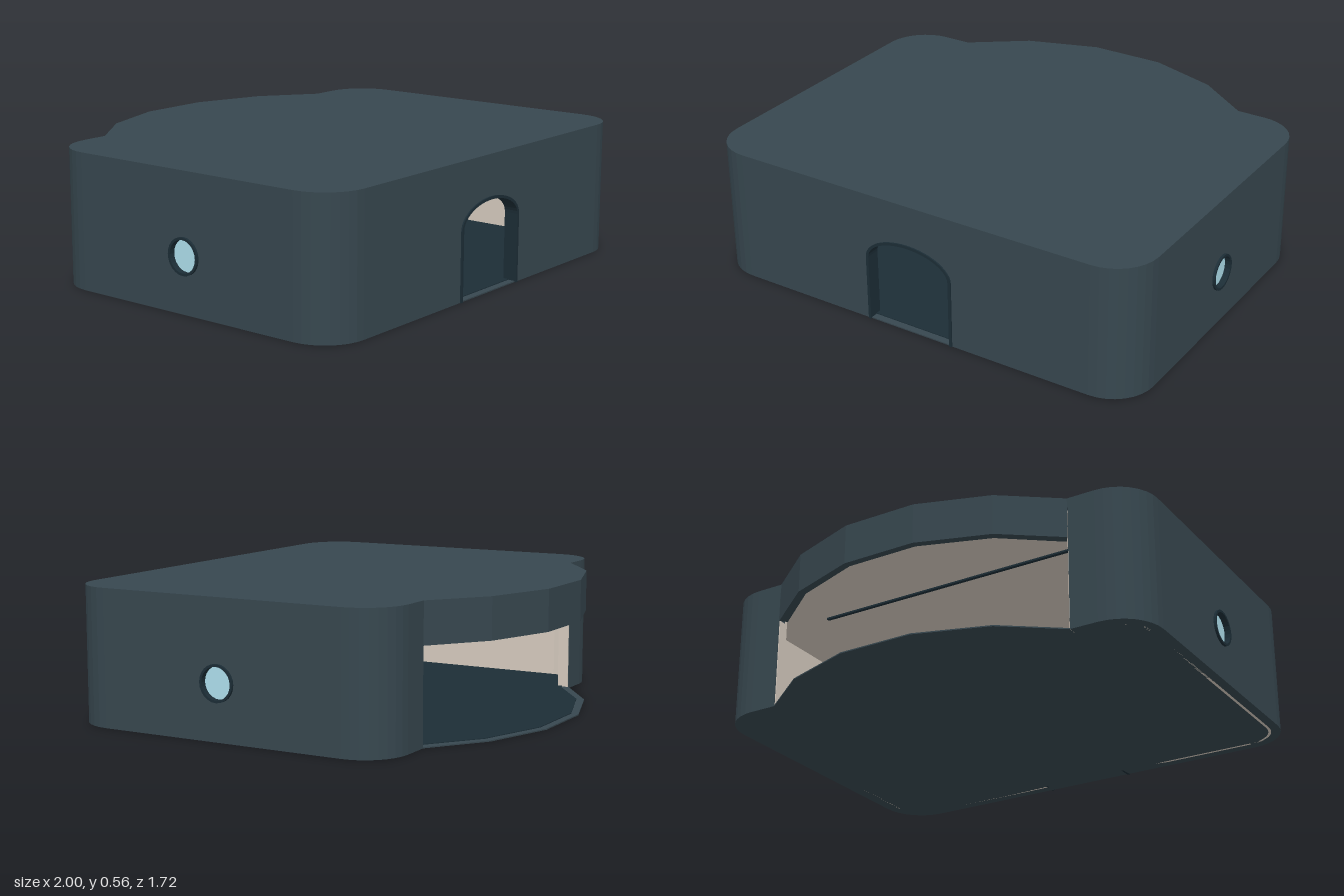
import * as THREE from 'three';

const mat = (color) => new THREE.MeshStandardMaterial({ color, side: THREE.DoubleSide });
const shell = mat(0x37474f), cream = mat(0xd7ccc0), dark = mat(0x1c2d36), glass = mat(0xafe0ee);

const H = 0.56, X = 0.99, ZF = 0.85, ZB = -0.59, R = 0.18, WALL = 0.04, LINER = 0.012;
const BULGE = [[0.69, ZB], [0.46, -0.76], [0.16, -0.86], [-0.16, -0.86], [-0.46, -0.76], [-0.69, ZB]];

export function createModel() {
  const model = new THREE.Group();

  const add = (name, geometry, material, x = 0, y = 0, z = 0) => {
    const m = new THREE.Mesh(geometry, material);
    m.name = name;
    m.position.set(x, y, z);
    model.add(m);
    return m;
  };
  const extrude = (shape, depth, curveSegments = 4) =>
    new THREE.ExtrudeGeometry(shape, { depth, bevelEnabled: false, curveSegments });
  // plan shape drawn in (x, z), filling y0..y1
  const slab = (name, shape, y0, y1, material) =>
    add(name, extrude(shape, y1 - y0).rotateX(Math.PI / 2), material, 0, y1, 0);
  // upright panel drawn in (-z, y), thickness along x
  const sidePanel = (name, shape, x0, x1, material) =>
    add(name, extrude(shape, x1 - x0, 12).rotateY(Math.PI / 2), material, x0, 0, 0);
  const rect = (a, b, c, d) => new THREE.Shape([[a, b], [c, b], [c, d], [a, d]].map(p => new THREE.Vector2(...p)));

  // plan outline: rounded box with a faceted bulge at the back
  const outline = (inset = 0) => {
    const s = new THREE.Shape(), r = R - inset, cx = X - R, q = Math.PI / 2;
    s.absarc(cx, ZF - R, r, q, 0, true);
    s.absarc(cx, ZB + R, r, 0, -q, true);
    BULGE.forEach(([x, z]) => s.lineTo(x * (1 - inset), z + inset));
    s.absarc(-cx, ZB + R, r, -q, -2 * q, true);
    s.absarc(-cx, ZF - R, r, 2 * q, q, true);
    s.closePath();
    return s;
  };
  // arched doorway, hw = half width, top = crown height
  const arch = (path, hw, top, bottom = 0) => {
    path.moveTo(-hw, bottom);
    path.lineTo(hw, bottom);
    path.lineTo(hw, 0.285);
    path.absellipse(0, 0.285, hw, top - 0.285, 0, Math.PI, false);
    path.lineTo(-hw, bottom);
    return path;
  };

  // roof and floor
  slab('roof', outline(), H - WALL, H, shell);
  slab('ceilingLiner', outline(0.02), H - WALL - LINER, H - WALL, cream);
  slab('floor', outline(), 0, 0.005, shell);
  slab('floorMat', outline(0.03), 0.005, 0.008, dark);
  add('ceilingStrip', new THREE.BoxGeometry(1.3, 0.008, 0.015), dark, 0, H - WALL - LINER - 0.004, -0.31);

  // front wall with doorway, outer skin and liner
  const front = new THREE.Shape();
  const cx = X - R;
  [[-cx, 0], [-0.2, 0], [-0.2, 0.285]].forEach(([x, y], i) => i ? front.lineTo(x, y) : front.moveTo(x, y));
  front.absellipse(0, 0.285, 0.2, 0.105, Math.PI, 0, true);
  [[0.2, 0], [cx, 0], [cx, H - WALL], [-cx, H - WALL]].forEach(p => front.lineTo(...p));
  front.closePath();
  add('frontWall', extrude(front, WALL, 12), shell, 0, 0, ZF - WALL);
  add('frontLiner', extrude(front, LINER, 12), cream, 0, 0, ZF - WALL - LINER);

  // door frame: thin arched band set in the doorway
  const frame = new THREE.Shape();
  frame.moveTo(-0.2, 0);
  frame.lineTo(-0.2, 0.285);
  frame.absellipse(0, 0.285, 0.2, 0.105, Math.PI, 0, true);
  frame.lineTo(0.2, 0);
  frame.lineTo(0.188, 0);
  frame.lineTo(0.188, 0.285);
  frame.absellipse(0, 0.285, 0.188, 0.093, 0, Math.PI, false);
  frame.lineTo(-0.188, 0);
  frame.closePath();
  add('doorFrame', extrude(frame, 0.06, 12), dark, 0, 0, ZF + 0.006 - 0.06);

  // side walls, portholes, rounded corners and short back walls
  const hole = { z: 0.135, y: 0.23, r: 0.075 };
  const circle = (Type, r) => new Type().absarc(-hole.z, hole.y, r, 0, Math.PI * 2, false);
  for (const s of [1, -1]) {
    const span = (a, b) => [Math.min(s * a, s * b), Math.max(s * a, s * b)];
    const wall = rect(-(ZF - R), 0, -(ZB + R), H - WALL);
    wall.holes.push(circle(THREE.Path, hole.r));
    sidePanel('sideWall', wall, ...span(X - WALL, X), shell);
    sidePanel('sideLiner', wall, ...span(X - WALL - LINER, X - WALL), cream);
    const ring = circle(THREE.Shape, hole.r);
    ring.holes.push(circle(THREE.Path, 0.065));
    sidePanel('portholeRing', ring, ...span(0.935, 1), dark);
    sidePanel('portholeGlass', circle(THREE.Shape, 0.066), ...span(0.96, 0.975), glass);

    for (const [cz, dir] of [[ZF - R, 1], [ZB + R, -1]]) {
      const a0 = s > 0 ? 0 : Math.PI, a1 = dir * Math.PI / 2 + (s < 0 && dir < 0 ? 2 * Math.PI : 0);
      const cw = a1 < a0;
      const sector = (ro, ri) => {
        const p = new THREE.Shape();
        p.absarc(s * cx, cz, ro, a0, a1, cw);
        p.absarc(s * cx, cz, ri, a1, a0, !cw);
        p.closePath();
        return p;
      };
      slab('cornerWall', sector(R, R - WALL), 0, H - WALL, shell);
      slab('cornerLiner', sector(R - WALL, R - WALL - LINER), 0, H - WALL, cream);
    }
    slab('backWall', rect(s * 0.692, ZB, s * cx, ZB + WALL), 0, H - WALL, shell);
    slab('backLiner', rect(s * 0.69, ZB + WALL, s * cx, ZB + WALL + LINER), 0, H - WALL, cream);
    slab('openingEdge', rect(s * 0.688, ZB + 0.004, s * 0.692, ZB + WALL), 0, 0.39, cream);
  }

  // lip hanging from the roof around the bulge
  const band = (o, i) => new THREE.Shape([
    ...BULGE.map(([x, z]) => new THREE.Vector2(x * (1 - o), z + o)),
    ...BULGE.map(([x, z]) => new THREE.Vector2(x * (1 - i), z + i)).reverse()]);
  slab('backLip', band(0, 0.03), 0.39, H - WALL, shell);
  slab('backLipLiner', band(0.03, 0.042), 0.39, H - WALL, cream);

  return model;
}
